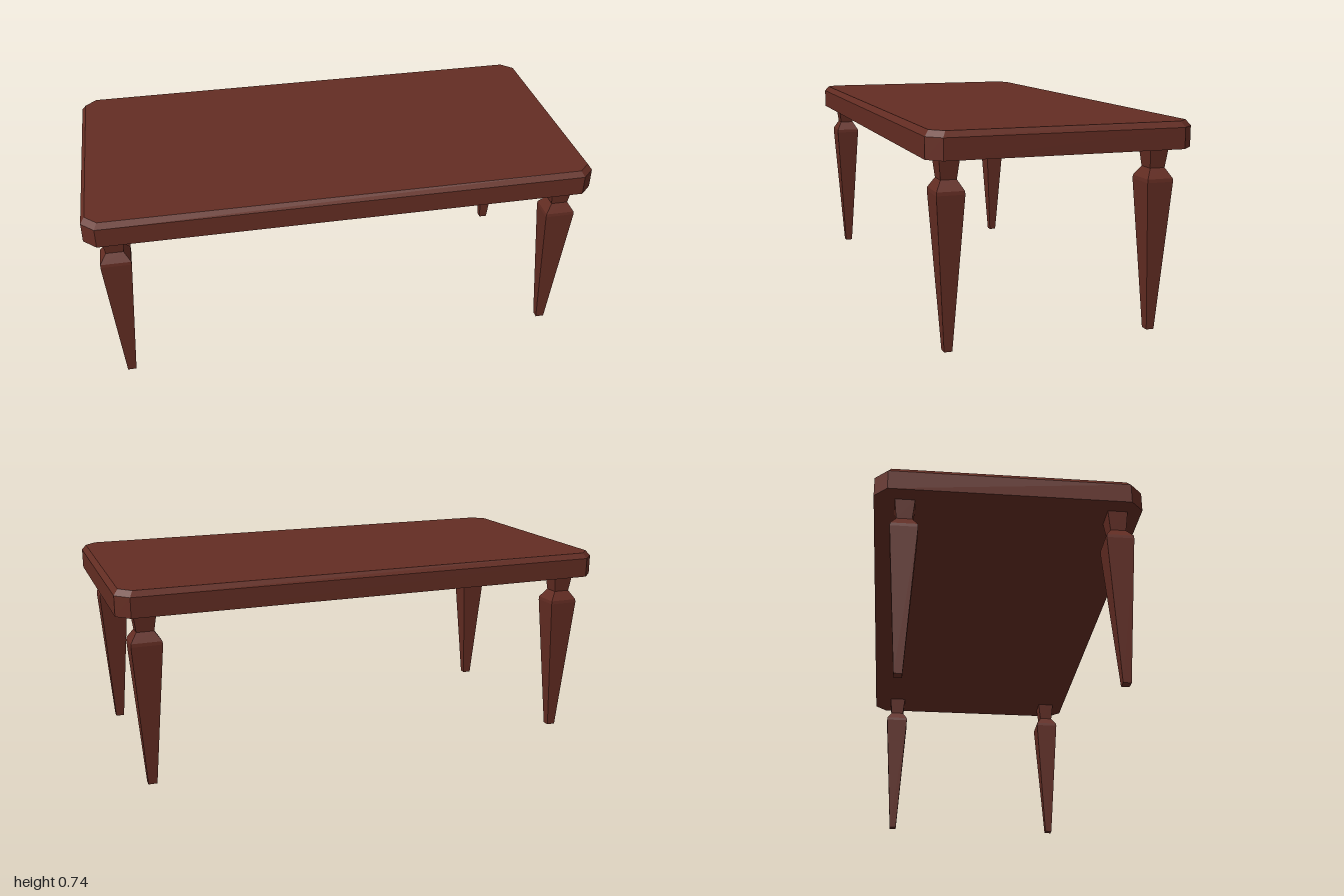
import * as THREE from 'three';

// Solid through stacked rings of [x, z] points (counter-clockwise from above), with flat faces.
function loft(levels) {
  const pos = [];
  const put = (ring, i, y) => pos.push(ring[i][0], y, ring[i][1]);
  const n = levels[0].ring.length;
  for (let k = 0; k < levels.length - 1; k++) {
    const a = levels[k], b = levels[k + 1];
    for (let i = 0; i < n; i++) {
      const j = (i + 1) % n;
      put(a.ring, i, a.y); put(a.ring, j, a.y); put(b.ring, j, b.y);
      put(a.ring, i, a.y); put(b.ring, j, b.y); put(b.ring, i, b.y);
    }
  }
  const lo = levels[0], hi = levels[levels.length - 1];
  for (let i = 1; i < n - 1; i++) {
    put(hi.ring, 0, hi.y); put(hi.ring, i, hi.y); put(hi.ring, i + 1, hi.y);
    put(lo.ring, 0, lo.y); put(lo.ring, i + 1, lo.y); put(lo.ring, i, lo.y);
  }
  const geo = new THREE.BufferGeometry();
  geo.setAttribute('position', new THREE.Float32BufferAttribute(pos, 3));
  geo.computeVertexNormals();
  return geo;
}

const rect = (x, z) => [[x, z], [x, -z], [-x, -z], [-x, z]];

// Rectangle with its four corners cut off
const cutRect = (x, z, c) => [
  [x, z - c], [x, c - z], [x - c, -z], [c - x, -z],
  [-x, c - z], [-x, z - c], [c - x, z], [x - c, z],
];

export function createModel() {
  const model = new THREE.Group();
  model.name = 'table';
  const wood = new THREE.MeshStandardMaterial({ color: 0x642d23 });
  wood.name = 'dark red wood';

  // The whole table stands turned on the floor
  const table = new THREE.Group();
  table.name = 'turnedTable';
  table.rotation.y = 0.2223;
  model.add(table);

  // Top with cut corners and a bevelled upper edge
  const top = new THREE.Mesh(loft([
    { y: 0.643, ring: cutRect(0.931, 0.462, 0.046) },
    { y: 0.715, ring: cutRect(0.931, 0.462, 0.046) },
    { y: 0.735, ring: cutRect(0.916, 0.447, 0.042) },
  ]), wood);
  top.name = 'tableTop';
  table.add(top);

  // Tapered legs with a shoulder and a flared neck: [y, half width, half depth]
  const legGeo = loft([
    [0, 0.016, 0.014],
    [0.526, 0.055, 0.0475],
    [0.538, 0.054, 0.0465],
    [0.572, 0.031, 0.027],
    [0.645, 0.0415, 0.035],
  ].map(([y, x, z]) => ({ y, ring: rect(x, z) })));
  for (const sx of [-1, 1]) {
    for (const sz of [-1, 1]) {
      const leg = new THREE.Mesh(legGeo, wood);
      leg.name = (sz > 0 ? 'front' : 'back') + (sx > 0 ? 'Left' : 'Right') + 'Leg';
      leg.position.set(sx * 0.83 - 0.002, 0, sz * 0.367 + 0.011);
      table.add(leg);
    }
  }
  return model;
}
